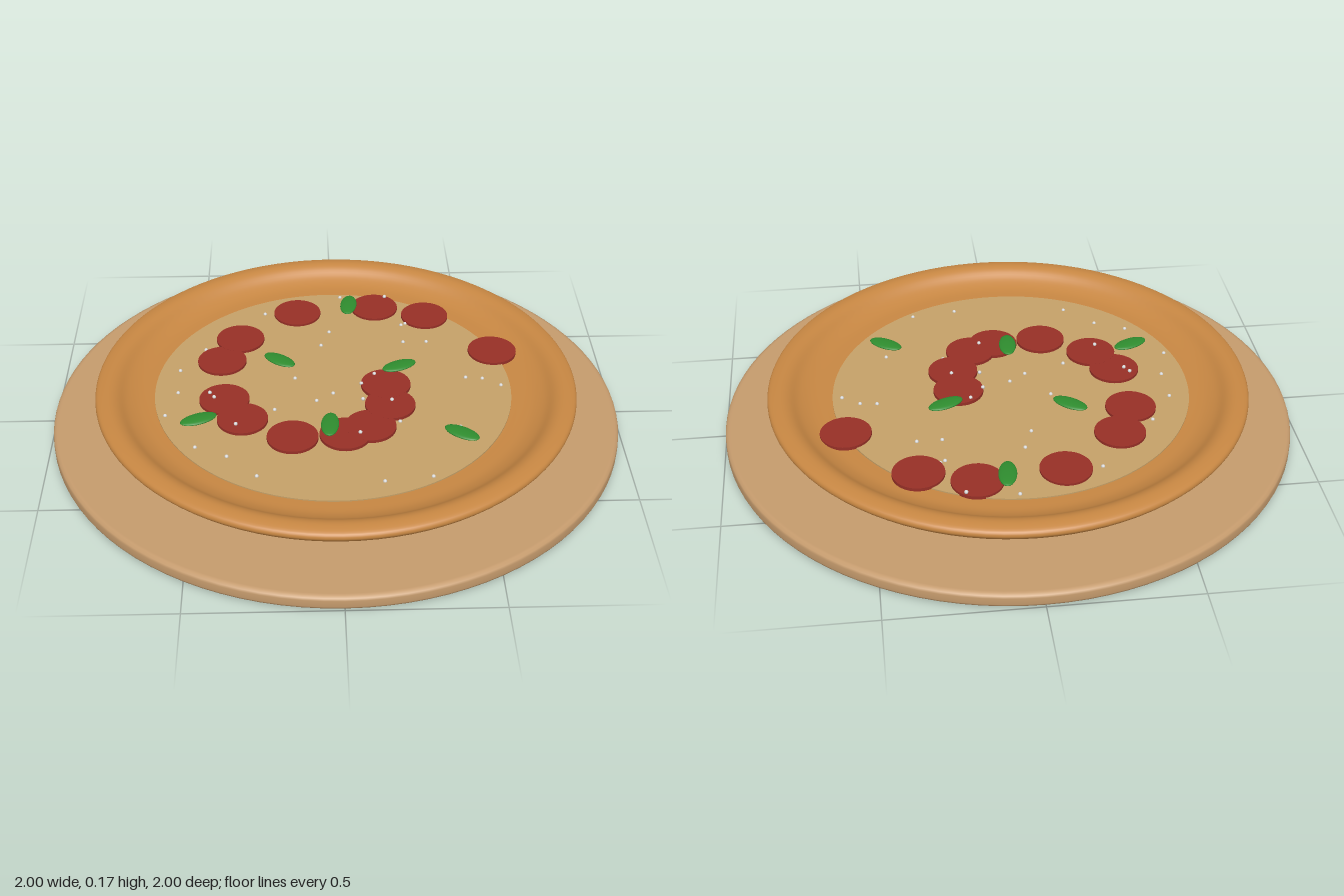
import * as THREE from 'three';

const mat = (name, color) => {
  const m = new THREE.MeshStandardMaterial({ color });
  m.name = name;
  return m;
};

export function createModel() {
  const wood = mat('board wood', 0xc49a6c);
  const dough = mat('baked crust', 0xc68642);
  const cheeseMat = mat('cheese', 0xc4a068);
  const salami = mat('salami red', 0x962f26);
  const green = mat('basil green', 0x2e8b2e);
  const grey = mat('crumb grey', 0xd8d8d8);

  const model = new THREE.Group();
  model.name = 'pizzaOnBoard';
  const add = (name, geometry, material, x = 0, y = 0, z = 0) => {
    const mesh = new THREE.Mesh(geometry, material);
    mesh.name = name;
    mesh.position.set(x, y, z);
    model.add(mesh);
    return mesh;
  };
  const lathe = (profile) =>
    new THREE.LatheGeometry(profile.map(([r, y]) => new THREE.Vector2(r, y)), 96);

  // Round serving board with a small rounded edge
  add('servingBoard', lathe([
    [0, 0], [0.98, 0], [0.988, 0.001], [0.997, 0.006], [1, 0.014],
    [1, 0.038], [0.997, 0.046], [0.988, 0.051], [0.98, 0.052], [0, 0.052],
  ]), wood);

  // Dough base with a raised rim
  const rim = new THREE.SplineCurve([
    [0.70, 0.086], [0.76, 0.093], [0.81, 0.114], [0.838, 0.138], [0.845, 0.153],
    [0.835, 0.167], [0.80, 0.174], [0.77, 0.166], [0.735, 0.142], [0.69, 0.126], [0.64, 0.123],
  ].map(([r, y]) => new THREE.Vector2(r, y))).getPoints(40).map((p) => [p.x, p.y]);
  add('crust', lathe([[0, 0.085], [0.68, 0.085], ...rim, [0.62, 0.122], [0, 0.122]]), dough);

  // Cheese layer
  add('cheese', new THREE.CylinderGeometry(0.63, 0.63, 0.006, 96), cheeseMat, -0.01, 0.124, 0);

  // Salami slices, each a hair higher than the last so overlaps stay clean
  const sliceGeo = new THREE.CylinderGeometry(0.088, 0.088, 0.012, 40);
  [
    [-0.134, -0.493], [0.161, -0.525], [0.349, -0.461], [0.579, -0.214], [-0.409, -0.172],
    [-0.346, -0.316], [-0.393, 0.07], [-0.327, 0.188], [-0.155, 0.295], [0.024, 0.284],
    [0.112, 0.241], [0.186, 0.118], [0.177, -0.005],
  ].forEach(([x, z], i) => add('salamiSlice', sliceGeo, salami, x, 0.129 + i * 0.0003, z));

  // Basil leaves: flattened ellipsoids [x, z, turn in degrees]
  const leafGeo = new THREE.SphereGeometry(1, 24, 14).scale(0.066, 0.009, 0.031);
  [
    [0.062, -0.52, 83], [-0.2, -0.15, -38], [0.23, -0.102, 25],
    [-0.477, 0.204, 24], [-0.027, 0.247, 86], [0.418, 0.306, -36],
  ].forEach(([x, z, turn]) => {
    add('basilLeaf', leafGeo, green, x, 0.148, z).rotation.y = THREE.MathUtils.degToRad(turn);
  });

  // Scattered crumbs
  const crumbGeo = new THREE.SphereGeometry(0.007, 8, 6);
  const scatter = (points, y) =>
    points.forEach(([x, z]) => add('crumb', crumbGeo, grey, x, y, z));
  scatter([
    [-0.257, -0.493], [0.032, -0.606], [-0.016, -0.36], [-0.048, -0.27], [0.257, -0.285],
    [0.343, -0.285], [0.257, -0.402], [0.273, -0.412], [-0.472, -0.252], [-0.558, -0.118],
    [-0.558, 0.02], [-0.595, 0.155], [-0.145, -0.059], [-0.011, 0.037], [-0.07, 0.08],
    [-0.217, 0.13], [-0.483, 0.338], [-0.375, 0.391], [-0.273, 0.498], [0.145, 0.536],
    [0.305, 0.515], [0.42, 0.246], [0.466, -0.048], [0.525, -0.04], [0.587, 0.003], [0.215, 0.21],
  ], 0.128);
  scatter([
    [-0.445, 0.037], [-0.429, 0.064], [-0.349, 0.225], [0.193, 0.097], [0.204, -0.59],
    [0.139, -0.064], [0.075, 0.284], [0.09, -0.005], [0.092, 0.09],
  ], 0.14);

  return model;
}
